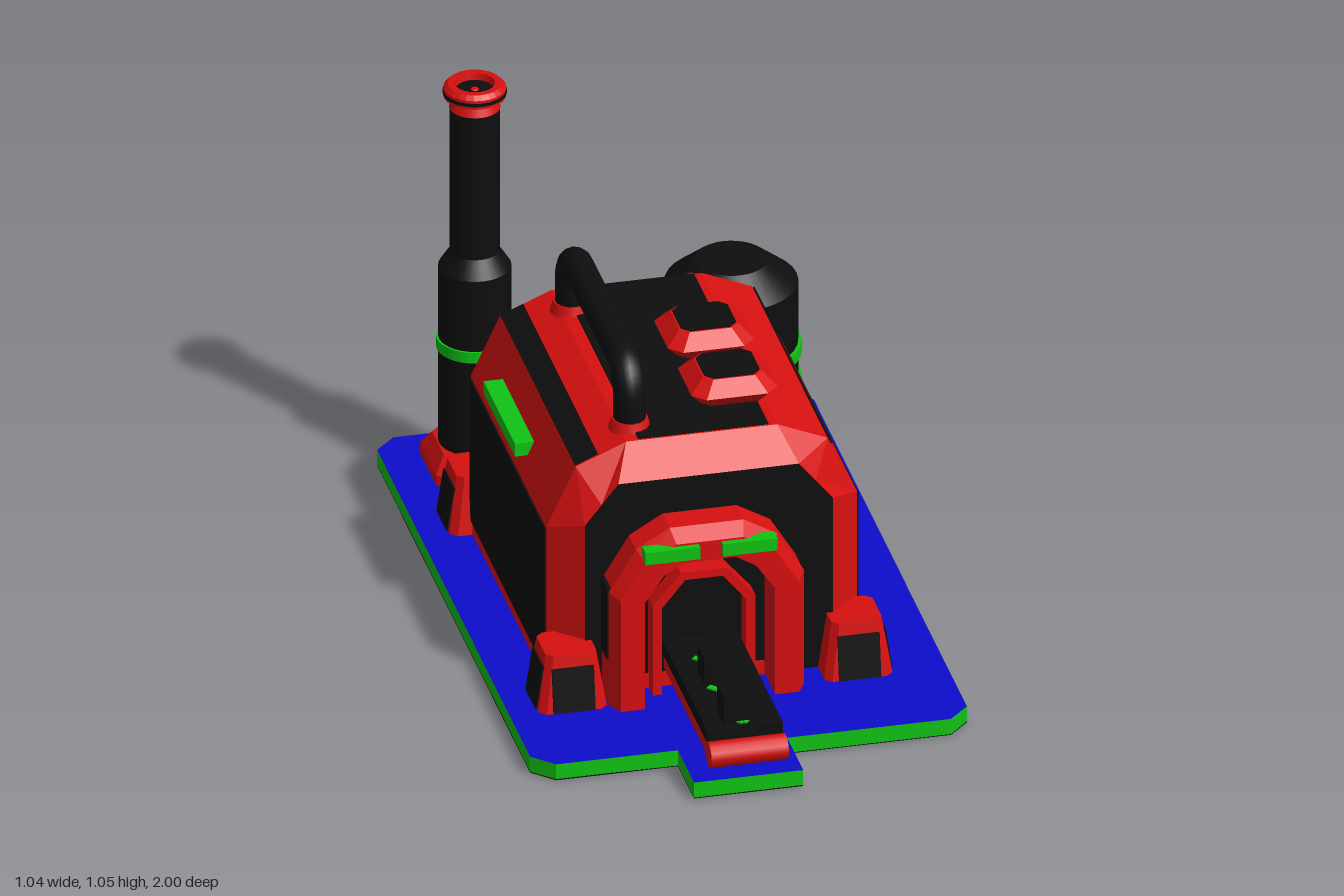
import * as THREE from 'three';

const mat = (name, color) => Object.assign(new THREE.MeshStandardMaterial({ color }), { name });

export function createModel() {
  const red = mat('red', 0xd81010), black = mat('black', 0x0e0e0e);
  const green = mat('green', 0x10c414), blue = mat('blue', 0x0d0dcc);
  const root = new THREE.Group();
  root.name = 'factory';

  const add = (name, geo, m, x = 0, y = 0, z = 0, parent = root) => {
    const mesh = new THREE.Mesh(geo, m);
    mesh.name = name;
    mesh.position.set(x, y, z);
    parent.add(mesh);
    return mesh;
  };
  const box = (name, m, x0, x1, y0, y1, z0, z1, parent) =>
    add(name, new THREE.BoxGeometry(x1 - x0, y1 - y0, z1 - z0), m, (x0 + x1) / 2, (y0 + y1) / 2, (z0 + z1) / 2, parent);
  const cyl = (name, m, rTop, rBottom, y0, y1, x, z, sides = 32) =>
    add(name, new THREE.CylinderGeometry(rTop, rBottom, y1 - y0, sides), m, x, (y0 + y1) / 2, z);

  // Flat-shaded skin through matching rings of points
  const loft = (rings, capped = true) => {
    const pos = [], n = rings[0].length;
    const tri = (...p) => p.forEach(v => pos.push(v.x, v.y, v.z));
    for (let k = 0; k + 1 < rings.length; k++) {
      const a = rings[k], b = rings[k + 1];
      for (let i = 0; i < n; i++) {
        const j = (i + 1) % n;
        tri(a[i], b[i], a[j]);
        tri(a[j], b[i], b[j]);
      }
    }
    const last = rings[rings.length - 1];
    if (capped) for (let i = 1; i + 1 < n; i++) {
      tri(rings[0][0], rings[0][i], rings[0][i + 1]);
      tri(last[0], last[i + 1], last[i]);
    }
    const geo = new THREE.BufferGeometry();
    geo.setAttribute('position', new THREE.Float32BufferAttribute(pos, 3));
    geo.computeVertexNormals();
    return geo;
  };
  // Symmetric arch ring from its right half, in a plane of constant z
  const arch = (half, cx, z) => [
    ...half.map(([x, y]) => new THREE.Vector3(cx + x, y, z)),
    ...half.slice().reverse().map(([x, y]) => new THREE.Vector3(cx - x, y, z))];
  // Rectangle with cut corners, in a plane of constant y
  const cutRect = (hx, hz, c, y) => [
    [hx, hz - c], [hx, c - hz], [hx - c, -hz], [c - hx, -hz],
    [-hx, c - hz], [-hx, hz - c], [c - hx, hz], [hx - c, hz]].map(([x, z]) => new THREE.Vector3(x, y, z));

  // Base plate with a tab at each end
  const quarter = [[0.08, 0.97], [0.08, 0.81], [0.47, 0.81], [0.52, 0.76]];
  const left = [[-0.52, 0.76], [-0.47, 0.81], [-0.18, 0.81], [-0.18, 0.97]];
  const flip = a => a.slice().reverse().map(([x, z]) => [x, -z]);
  const outline = new THREE.Shape(
    [...quarter, ...flip(quarter), ...flip(left), ...left].map(p => new THREE.Vector2(...p)));
  const plate = (name, m, y, depth) =>
    add(name, new THREE.ExtrudeGeometry(outline, { depth, bevelEnabled: false }), m, 0, y, 0).rotation.x = -Math.PI / 2;
  plate('basePlate', [blue, green], 0.005, 0.04);
  plate('baseUnderside', black, 0.003, 0.003);
  for (const z of [0.47, -0.37]) box('baseSkid', black, -0.21, 0.1, 0, 0.005, z - 0.02, z + 0.02);

  // Main hall: red shell with bevelled ends
  const C = -0.03;
  const hull = [[0.37, 0.04], [0.37, 0.455], [0.3, 0.605], [0.18, 0.656]];
  const endWall = [[0.295, 0.04], [0.295, 0.485], [0.255, 0.535], [0.215, 0.585]];
  add('hallShell', loft([arch(endWall, C, 0.49), arch(hull, C, 0.42), arch(hull, C, -0.33), arch(endWall, C, -0.4)]), red);
  add('hallEndWalls', loft([arch(endWall, C, 0.494), arch(endWall, C, -0.404)]), black);

  // Thin plates following the shell from one section point to another
  const panel = (name, x0, y0, x1, y1) => {
    const len = Math.hypot(x1 - x0, y1 - y0);
    const p = add(name, new THREE.BoxGeometry(len, 0.008, 0.74), black, (x0 + x1) / 2, (y0 + y1) / 2, 0.045);
    p.rotation.z = Math.atan2(y1 - y0, x1 - x0);
  };
  panel('roofPanel', -0.18, 0.656, 0.13, 0.656);
  panel('rightRoofStripe', 0.27, 0.605, 0.279, 0.586);
  panel('leftRoofStripe', -0.33, 0.605, -0.275, 0.628);
  for (const s of [1, -1]) panel('sidePanel', C + s * 0.37, 0.08, C + s * 0.37, 0.45);
  for (const y of [0.265, 0.313, 0.36, 0.415]) box('louver', green, 0.335, 0.352, y - 0.014, y + 0.014, -0.09, 0.195);
  box('sideLamp', green, -0.41, -0.36, 0.498, 0.532, -0.16, 0.15);

  // Entrance porch, with lamps and an inner door frame
  const D = -0.053;
  const pOut = [[0.232, 0.04], [0.232, 0.345], [0.168, 0.45], [0.088, 0.497]];
  const pMid = [[0.212, 0.04], [0.212, 0.335], [0.152, 0.43], [0.08, 0.47]];
  const pIn = [[0.155, 0.04], [0.155, 0.325], [0.11, 0.39], [0.062, 0.42]];
  add('porch', loft([arch(pIn, D, 0.49), arch(pIn, D, 0.6), arch(pMid, D, 0.6), arch(pOut, D, 0.565), arch(pOut, D, 0.48)], false), red);
  for (const s of [1, -1]) {
    const x = D + s * 0.232, l = D + s * 0.092;
    box('porchSidePanel', black, x - 0.004, x + 0.004, 0.165, 0.355, 0.5, 0.56);
    box('porchLamp', green, l - 0.065, l + 0.065, 0.433, 0.465, 0.58, 0.615);
  }
  box('porchSill', red, -0.21, 0.1, 0.04, 0.08, 0.49, 0.5);
  const frame = (name, outer, inner, z0, z1) => add(name,
    loft([arch(inner, D, z0), arch(inner, D, z1), arch(outer, D, z1), arch(outer, D, z0)], false), red);
  frame('doorFrame', [[0.122, 0.04], [0.122, 0.28], [0.055, 0.36]], [[0.1, 0.04], [0.1, 0.272], [0.045, 0.34]], 0.49, 0.54);
  frame('rearDoorFrame', [[0.155, 0.04], [0.155, 0.22], [0.1, 0.29]], [[0.115, 0.04], [0.115, 0.2], [0.075, 0.25]], -0.46, -0.4);

  // Corner buttresses with dark outer panels
  for (const sx of [1, -1]) for (const sz of [1, -1]) {
    const g = new THREE.Group();
    g.name = 'cornerButtress';
    g.position.set(C + sx * 0.34, 0, 0.05 + sz * 0.4425);
    root.add(g);
    add('buttressBody', loft([cutRect(0.06, 0.06, 0.016, 0.185), cutRect(0.082, 0.082, 0.016, 0.04)]), red, 0, 0, 0, g);
    const front = add('buttressPanel', new THREE.BoxGeometry(0.1, 0.11, 0.008), black, 0, 0.1, sz * 0.073, g);
    front.rotation.x = -sz * 0.15;
    const side = add('buttressPanel', new THREE.BoxGeometry(0.008, 0.11, 0.1), black, sx * 0.073, 0.1, 0, g);
    side.rotation.z = sx * 0.15;
  }

  // Roof vents
  for (const z of [0, 0.235]) {
    add('roofVent', loft([cutRect(0.07, 0.065, 0.02, 0.724), cutRect(0.103, 0.098, 0.03, 0.69), cutRect(0.07, 0.065, 0.02, 0.65)]), red, 0.077, 0, z - 0.002);
    add('ventCover', loft([cutRect(0.066, 0.061, 0.019, 0.727), cutRect(0.066, 0.061, 0.019, 0.72)]), black, 0.077, 0, z - 0.002);
  }

  // Pipes made of straight runs joined by rounded corners
  const pipe = (name, pts, r, bend) => {
    const v = pts.map(p => new THREE.Vector3(...p)), path = new THREE.CurvePath();
    let from = v[0];
    for (let i = 1; i + 1 < v.length; i++) {
      const a = v[i].clone().add(v[i - 1].clone().sub(v[i]).setLength(bend));
      const b = v[i].clone().add(v[i + 1].clone().sub(v[i]).setLength(bend));
      path.add(new THREE.LineCurve3(from, a));
      path.add(new THREE.QuadraticBezierCurve3(a, v[i], b));
      from = b;
    }
    path.add(new THREE.LineCurve3(from, v[v.length - 1]));
    add(name, new THREE.TubeGeometry(path, 80, r, 14), black);
  };
  pipe('roofPipe', [[-0.183, 0.64, 0.342], [-0.183, 0.802, 0.342], [-0.183, 0.802, -0.238], [-0.183, 0.64, -0.238]], 0.038, 0.08);
  for (const z of [0.342, -0.238]) cyl('pipeFlange', red, 0.042, 0.05, 0.65, 0.677, -0.183, z, 16);
  pipe('tankPipe', [[0.14, 0.47, -0.36], [0.14, 0.47, -0.55], [0.25, 0.47, -0.6]], 0.042, 0.07);
  const flange = add('tankFlange', new THREE.CylinderGeometry(0.05, 0.05, 0.02, 16), red, 0.185, 0.47, -0.565);
  flange.rotation.set(0, 0.43, Math.PI / 2);

  // Storage tank
  const tx = 0.29, tz = -0.62;
  cyl('tankFoot', red, 0.153, 0.07, 0.04, 0.115, tx, tz);
  cyl('tankBody', black, 0.155, 0.155, 0.115, 0.465, tx, tz);
  cyl('tankTop', black, 0.085, 0.155, 0.465, 0.522, tx, tz);
  for (const y of [0.202, 0.294]) cyl('tankBand', green, 0.163, 0.163, y - 0.014, y + 0.014, tx, tz);

  // Chimney
  const cx = -0.315, cz = -0.645;
  add('chimneyBase', loft([cutRect(0.088, 0.088, 0.03, 0.11), cutRect(0.112, 0.112, 0.03, 0.07), cutRect(0.112, 0.112, 0.03, 0.04)]), red, cx, 0, cz);
  cyl('chimneyLower', black, 0.085, 0.085, 0.1, 0.57, cx, cz);
  cyl('chimneyShoulder', black, 0.058, 0.085, 0.57, 0.612, cx, cz);
  cyl('chimneyStack', black, 0.058, 0.058, 0.61, 0.992, cx, cz);
  cyl('chimneyBand', green, 0.09, 0.09, 0.357, 0.385, cx, cz);
  cyl('chimneyNeck', red, 0.05, 0.06, 0.988, 1.012, cx, cz);
  const rim = [[0.04, 1.01], [0.055, 1.008], [0.073, 1.018], [0.073, 1.04], [0.063, 1.05], [0.047, 1.05], [0.04, 1.01]];
  const rimGeo = new THREE.LatheGeometry(rim.map(p => new THREE.Vector2(...p)), 24).toNonIndexed();
  rimGeo.computeVertexNormals();
  add('chimneyRim', rimGeo, red, cx, 0, cz);
  cyl('rimGroove', black, 0.0745, 0.0745, 1.025, 1.033, cx, cz);
  cyl('chimneyCap', red, 0.008, 0.03, 1.01, 1.035, cx, cz, 12);

  // Conveyors at both ends, with chevrons and cargo
  for (const s of [1, -1]) {
    const g = new THREE.Group();
    g.name = 'conveyor';
    g.position.x = D;
    root.add(g);
    const inner = s > 0 ? 0.48 : 0.39;
    const span = (name, m, hw, y0, y1, a, b) => box(name, m, -hw, hw, y0, y1, Math.min(s * a, s * b), Math.max(s * a, s * b), g);
    span('conveyorFrame', red, 0.084, 0.088, 0.135, inner, 0.97);
    span('belt', black, 0.09, 0.132, 0.165, inner, 0.95);
    const roller = add('endRoller', new THREE.CylinderGeometry(0.031, 0.031, 0.184, 12), red, 0, 0.113, s * 0.969, g);
    roller.rotation.z = Math.PI / 2;
    for (const z of [0.695, 0.89]) span('cargoBlock', black, 0.045, 0.16, 0.235, z - 0.035, z + 0.035);
    for (const z of [0.62, 0.765, 0.91]) for (const side of [1, -1]) {
      const arm = add('chevron', new THREE.BoxGeometry(0.056, 0.006, 0.016), green, side * 0.019, 0.166, s * z, g);
      arm.rotation.y = side * s * Math.PI / 4;
    }
  }
  return root;
}
